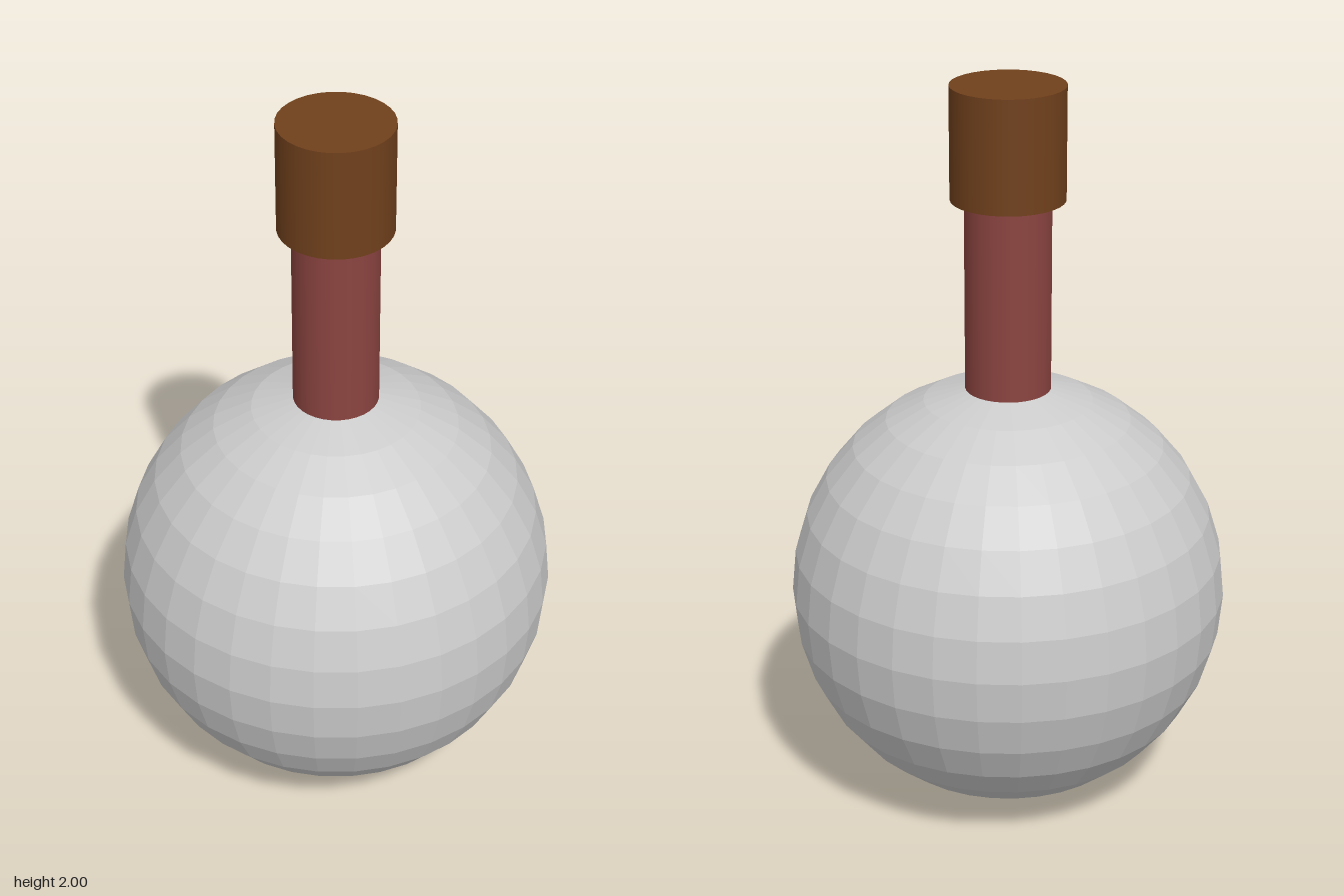
import * as THREE from 'three';

export function createModel() {
  const group = new THREE.Group();
  const add = (name, geometry, color, y, flatShading = false) => {
    const mesh = new THREE.Mesh(geometry, new THREE.MeshStandardMaterial({ color, flatShading }));
    mesh.name = name;
    mesh.position.y = y;
    group.add(mesh);
  };

  // Faceted round body
  const radius = 0.593;
  add('body', new THREE.SphereGeometry(radius, 32, 16), 0xcccccc, radius, true);

  // Neck, rising from just inside the body to the underside of the stopper
  const neckBottom = 1.17, stopperBottom = 1.697;
  const neckHeight = stopperBottom - neckBottom;
  add('neck', new THREE.CylinderGeometry(0.115, 0.115, neckHeight, 32), 0x8b4440, neckBottom + neckHeight / 2);

  // Wider stopper on top
  const stopperHeight = 2 - stopperBottom;
  add('stopper', new THREE.CylinderGeometry(0.152, 0.152, stopperHeight, 32), 0x70401c, stopperBottom + stopperHeight / 2);

  return group;
}
